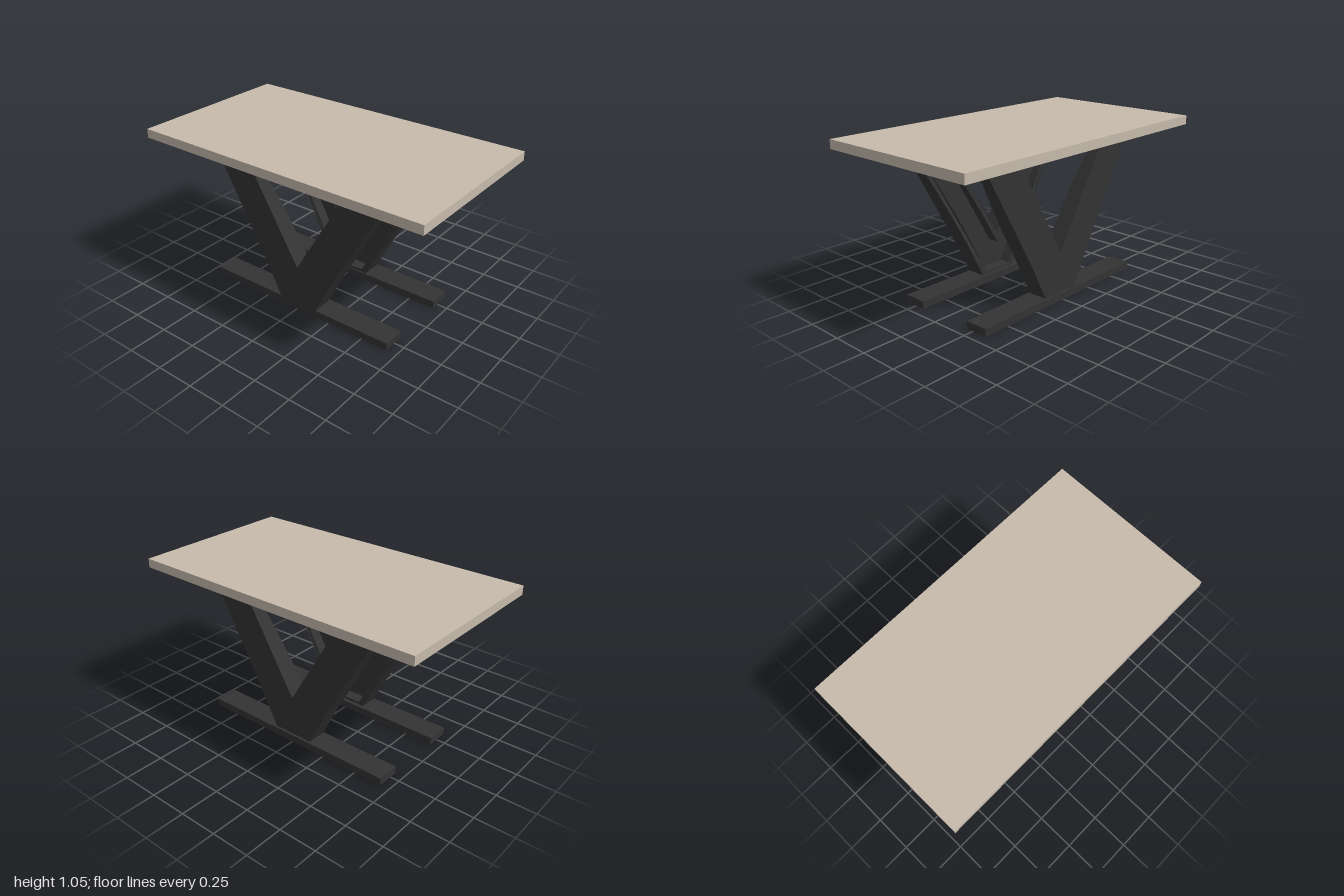
import * as THREE from 'three';

const wood = new THREE.MeshStandardMaterial({ name: 'pale wood', color: 0xc6baab });
const underWood = new THREE.MeshStandardMaterial({ name: 'dark underside', color: 0x3a3227 });
const metal = new THREE.MeshStandardMaterial({ name: 'charcoal metal', color: 0x333333, flatShading: true });

// Mirror a half profile across x = 0 and subdivide its edges, so a taper can bend them.
function mirroredOutline(half, steps) {
  const left = half.slice(0, -1).reverse().map(([x, y]) => [-x, y]);
  const corners = [...half, ...left];
  const points = [];
  corners.forEach(([x, y], i) => {
    const [nx, ny] = corners[(i + 1) % corners.length];
    for (let s = 0; s < steps; s++) {
      const t = s / steps;
      points.push(new THREE.Vector2(x + (nx - x) * t, y + (ny - y) * t));
    }
  });
  return points;
}

const outer = [[0.14, 0.048], [0.27, 0.3], [0.61, 0.9], [0.64, 0.988], [0.405, 0.988], [0, 0.31]];
const inner = [[0.105, 0.065], [0.243, 0.32], [0.583, 0.915], [0.605, 0.982], [0.44, 0.982], [0, 0.245]];

// Inner edge of the leg at each height: deep near the foot, slimmer at the top.
const taper = [[0.04, 0.207], [0.5, 0.217], [0.72, 0.235], [0.86, 0.256], [1, 0.262]];
function innerZ(y) {
  for (let i = 1; i < taper.length; i++) {
    const [y0, z0] = taper[i - 1], [y1, z1] = taper[i];
    if (y <= y1) return z0 + (z1 - z0) * (y - y0) / (y1 - y0);
  }
  return taper[taper.length - 1][1];
}

function addMesh(parent, name, geometry, material) {
  const mesh = new THREE.Mesh(geometry, material);
  mesh.name = name;
  parent.add(mesh);
  return mesh;
}

function makeTrestle(name) {
  const trestle = new THREE.Group();
  trestle.name = name;
  const floorZ = 0.285, faceZ = 0.335;

  // Flat outer face of the V
  const plate = new THREE.ExtrudeGeometry(new THREE.Shape(mirroredOutline(outer, 1)),
    { depth: faceZ - floorZ, bevelEnabled: false });
  plate.translate(0, 0, floorZ);
  addMesh(trestle, 'vLegFace', plate, metal);

  // Tapered flange around the channel on the inside
  const rim = new THREE.Shape(mirroredOutline(outer, 6));
  rim.holes.push(new THREE.Path(mirroredOutline(inner, 6)));
  const flange = new THREE.ExtrudeGeometry(rim, { depth: 1, bevelEnabled: false });
  const pos = flange.attributes.position;
  for (let i = 0; i < pos.count; i++) {
    pos.setZ(i, pos.getZ(i) > 0.5 ? floorZ : innerZ(pos.getY(i)));
  }
  flange.computeVertexNormals();
  addMesh(trestle, 'vLegFlange', flange, metal);
  return trestle;
}

export function createModel() {
  const table = new THREE.Group();
  table.name = 'table';

  // Table top with a darker underside
  const top = addMesh(table, 'tableTop', new THREE.BoxGeometry(2, 0.058, 1.11),
    [wood, wood, wood, underWood, wood, wood]);
  top.position.y = 1.017;

  // V-shaped legs, front and back
  const front = makeTrestle('frontLeg');
  const back = makeTrestle('backLeg');
  back.rotation.y = Math.PI;
  front.position.x = back.position.x = 0.008;
  table.add(front, back);

  // Long flat feet
  for (const [name, z] of [['frontFoot', 0.258], ['backFoot', -0.275]]) {
    const foot = addMesh(table, name, new THREE.BoxGeometry(1.37, 0.048, 0.153), metal);
    foot.position.set(-0.005, 0.024, z);
  }
  return table;
}
